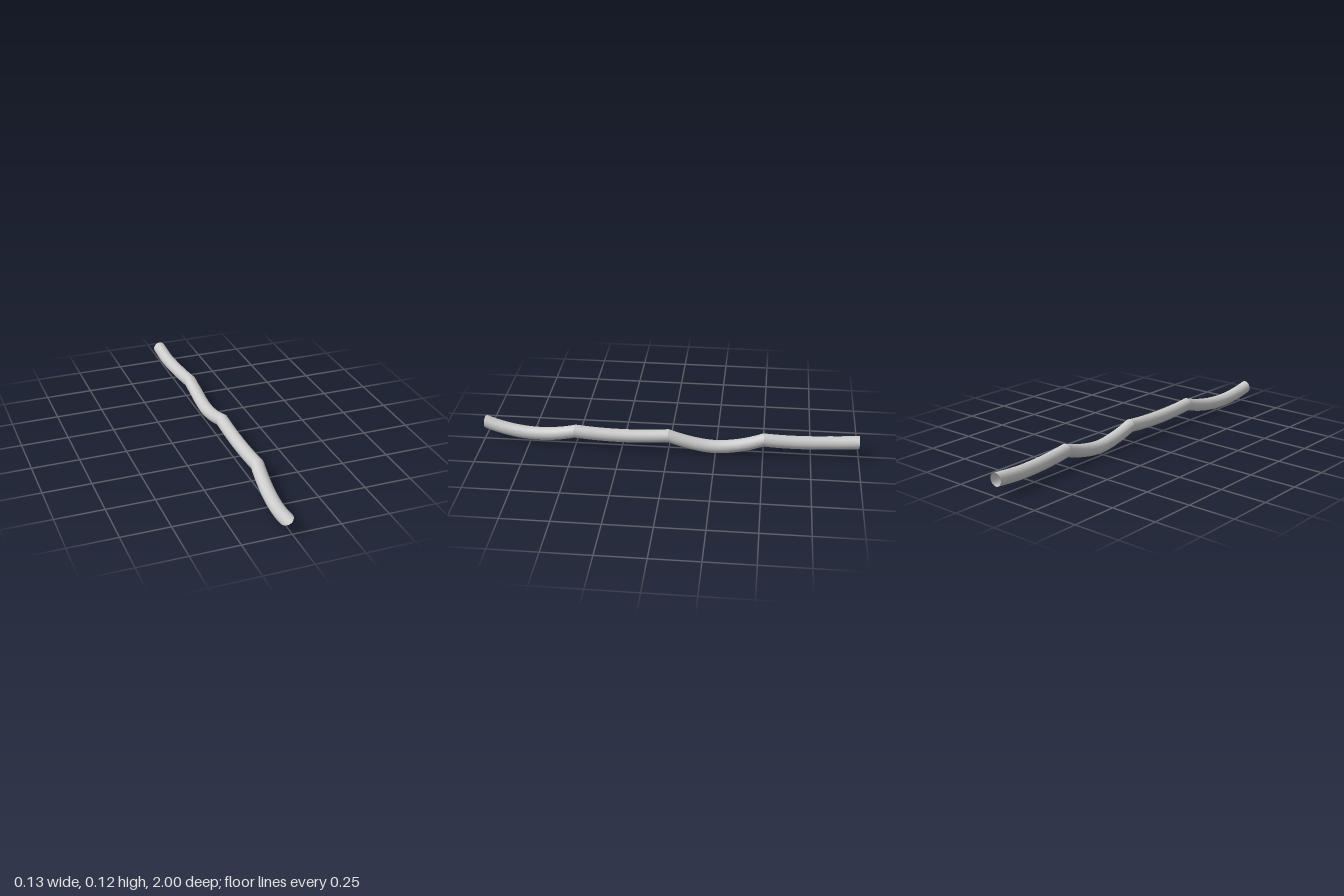
import * as THREE from 'three';

const RADIUS = 0.035, SIDES = 20, NODE_Y = 0.087;

// Sideways course of the cable, as [z, x] corners
const COURSE = [[-1.1, 0], [-0.85, 0], [-0.42, 0.029], [0.5, 0.029], [1.1, -0.042]];

// Hanging spans from front to back; power sets how pointed the sag is
const SPANS = [
  { name: 'frontSpan', start: 0.996, end: 0.5, sag: 0.04, power: 2, steps: 16 },
  { name: 'frontMiddleSpan', start: 0.5, end: 0, sag: 0.013, power: 2, steps: 16 },
  { name: 'backMiddleSpan', start: 0, end: -0.5, sag: 0.052, power: 1.7, steps: 16 },
  { name: 'backSpan', start: -0.5, end: -1, sag: 0.013, power: 2, steps: 16 },
];

function courseX(z) {
  let i = 0;
  while (i < COURSE.length - 2 && z > COURSE[i + 1][0]) i++;
  const [z0, x0] = COURSE[i], [z1, x1] = COURSE[i + 1];
  return x0 + (x1 - x0) * (z - z0) / (z1 - z0);
}

// Open tube with upright rings that turn with the sideways course
function spanGeometry({ start, end, sag, power, steps }) {
  const positions = [], index = [], row = SIDES + 1;
  for (let i = 0; i <= steps; i++) {
    const t = i / steps;
    const z = start + (end - start) * t;
    const x = courseX(z);
    const y = NODE_Y - sag * (1 - Math.abs(2 * t - 1) ** power);
    const turn = Math.atan((courseX(z + 0.01) - courseX(z - 0.01)) / 0.02);
    for (let j = 0; j <= SIDES; j++) {
      const a = (j / SIDES) * Math.PI * 2;
      const side = RADIUS * Math.cos(a);
      positions.push(x + side * Math.cos(turn), y + RADIUS * Math.sin(a), z - side * Math.sin(turn));
      if (i < steps && j < SIDES) {
        const p = i * row + j;
        index.push(p, p + row, p + 1, p + 1, p + row, p + row + 1);
      }
    }
  }
  const geometry = new THREE.BufferGeometry();
  geometry.setAttribute('position', new THREE.Float32BufferAttribute(positions, 3));
  geometry.setIndex(index);
  geometry.computeVertexNormals();
  // Match the normals where each ring closes
  const n = geometry.attributes.normal, v = new THREE.Vector3(), w = new THREE.Vector3();
  for (let i = 0; i <= steps; i++) {
    const a = i * row, b = a + SIDES;
    v.fromBufferAttribute(n, a).add(w.fromBufferAttribute(n, b)).normalize();
    n.setXYZ(a, v.x, v.y, v.z);
    n.setXYZ(b, v.x, v.y, v.z);
  }
  return geometry;
}

export function createModel() {
  const model = new THREE.Group();
  model.name = 'saggingCable';
  const material = new THREE.MeshStandardMaterial({ color: 0xcccccc, side: THREE.DoubleSide });
  for (const span of SPANS) {
    const mesh = new THREE.Mesh(spanGeometry(span), material);
    mesh.name = span.name;
    model.add(mesh);
  }
  return model;
}
